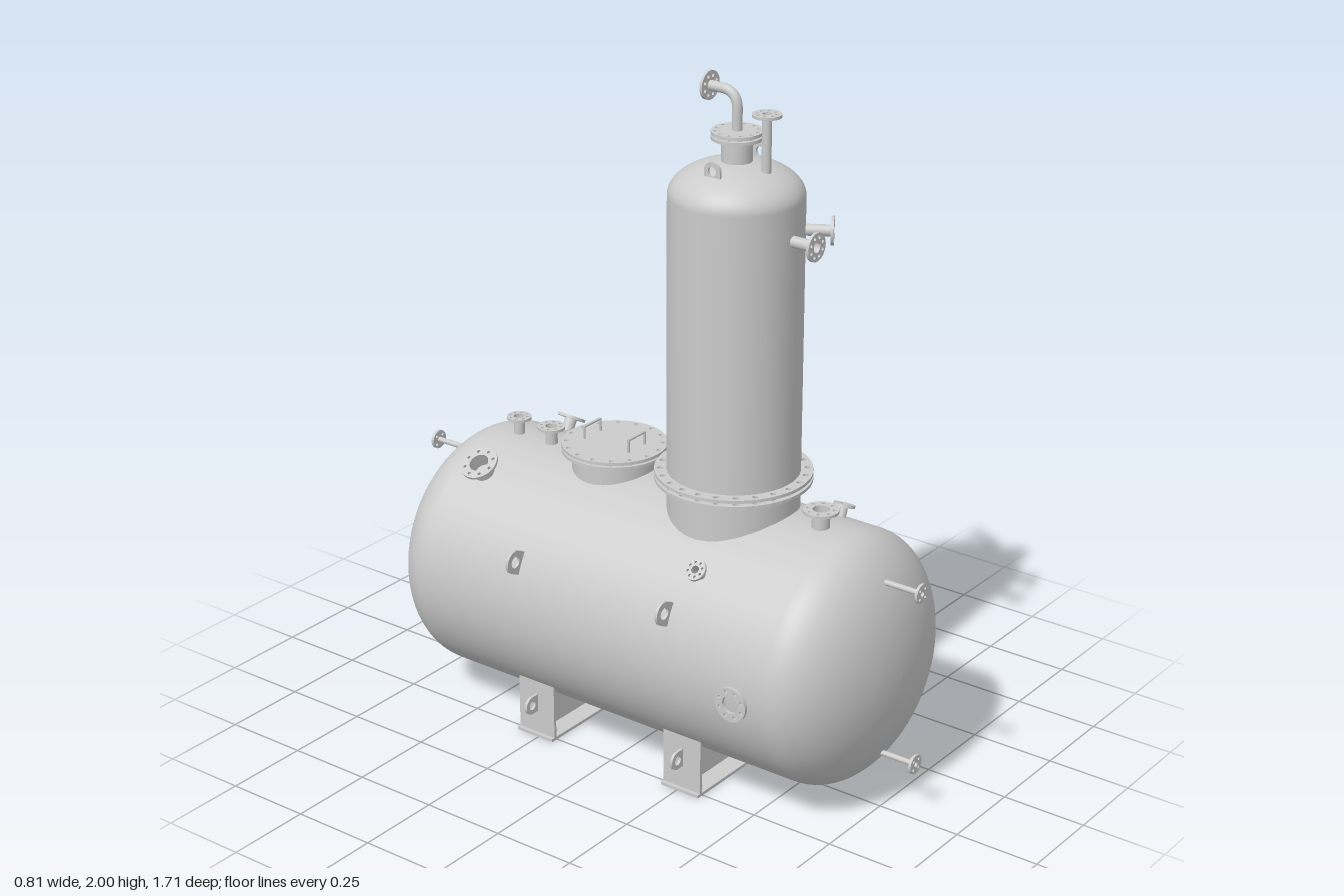
import * as THREE from 'three';

const grey = new THREE.MeshStandardMaterial({ color: 0xcccccc });
const thin = new THREE.MeshStandardMaterial({ color: 0xcccccc, side: THREE.DoubleSide });
const V = (x, y, z) => new THREE.Vector3(x, y, z);
const TANK_Y = 0.42, TANK_R = 0.367, COL_Z = 0.233, COL_R = 0.185;

function add(parent, name, geometry, material = grey) {
  const mesh = new THREE.Mesh(geometry, material);
  mesh.name = name;
  parent.add(mesh);
  return mesh;
}

// Round plate with a bore and a ring of bolt holes, from z = -t to z = 0
function flangeGeometry(r, bore, bolts, boltCircle, boltR, t) {
  const shape = new THREE.Shape().absarc(0, 0, r, 0, Math.PI * 2);
  const hole = (x, y, s) => shape.holes.push(new THREE.Path().absarc(x, y, s, 0, Math.PI * 2, true));
  if (bore) hole(0, 0, bore);
  for (let i = 0; i < bolts; i++) {
    const a = ((i + 0.5) / bolts) * Math.PI * 2;
    hole(Math.cos(a) * boltCircle, Math.sin(a) * boltCircle, boltR);
  }
  return new THREE.ExtrudeGeometry(shape, { depth: t, bevelEnabled: false, curveSegments: 20 }).translate(0, 0, -t);
}

// Horizontal flange whose upper face lies at y
function flatFlange(parent, name, y, z, r, bore, bolts, boltCircle, boltR, t) {
  const mesh = add(parent, name, flangeGeometry(r, bore, bolts, boltCircle, boltR, t));
  mesh.rotation.x = -Math.PI / 2;
  mesh.position.set(0, y, z);
}

// Pipe stub ending in a flange; 'face' is the centre of the flange face
function nozzle(parent, name, face, dir, length, pipeR, flangeR, bolts = 8) {
  const g = new THREE.Group();
  g.name = name;
  const pipe = new THREE.CylinderGeometry(pipeR, pipeR, length, 24, 1, true);
  add(g, 'pipe', pipe.rotateX(Math.PI / 2).translate(0, 0, -length / 2), thin);
  add(g, 'flange', flangeGeometry(flangeR, pipeR * 0.95, bolts, (pipeR + flangeR) / 2,
    Math.min(0.005, (flangeR - pipeR) * 0.22), 0.008));
  g.quaternion.setFromUnitVectors(V(0, 0, 1), dir.clone().normalize());
  g.position.copy(face);
  parent.add(g);
}

// Lifting eye: rounded plate with a hole, pointing along 'angle' in its plane
function liftingEye(parent, name, pos, r, leg, angle, yaw = 0) {
  const s = new THREE.Shape();
  s.moveTo(-leg, -r);
  s.lineTo(0, -r);
  s.absarc(0, 0, r, -Math.PI / 2, Math.PI / 2);
  s.lineTo(-leg, r);
  s.holes.push(new THREE.Path().absarc(0, 0, r * 0.5, 0, Math.PI * 2, true));
  const geo = new THREE.ExtrudeGeometry(s, { depth: 0.008, bevelEnabled: false, curveSegments: 16 });
  const mesh = add(parent, name, geo.translate(0, 0, -0.004).rotateZ(angle).rotateY(yaw));
  mesh.position.copy(pos);
}

// Quarter-ellipse dished head from (r, y) to the axis
function head(r, y, depth, n = 20) {
  return Array.from({ length: n + 1 }, (_, i) => {
    const a = (i / n) * Math.PI / 2;
    return new THREE.Vector2(i === n ? 0 : r * Math.cos(a), y + depth * Math.sin(a));
  });
}

function saddle(parent, z) {
  const g = new THREE.Group();
  g.name = 'saddle';
  g.position.z = z;
  // web cut to the curve of the tank
  const a = Math.asin(0.27 / TANK_R);
  const web = new THREE.Shape();
  web.moveTo(-0.27, 0.008);
  web.lineTo(0.27, 0.008);
  web.absarc(0, TANK_Y, TANK_R, -Math.PI / 2 + a, -Math.PI / 2 - a, true);
  web.closePath();
  add(g, 'web', new THREE.ExtrudeGeometry(web, { depth: 0.01, bevelEnabled: false, curveSegments: 32 }).translate(0, 0, -0.005));
  // base plate with anchor holes
  const base = new THREE.Shape();
  base.moveTo(-0.283, -0.064);
  base.lineTo(0.283, -0.064);
  base.lineTo(0.283, 0.064);
  base.lineTo(-0.283, 0.064);
  for (const x of [-0.235, 0.235]) for (const y of [-0.035, 0.035])
    base.holes.push(new THREE.Path().absarc(x, y, 0.009, 0, Math.PI * 2, true));
  add(g, 'basePlate', new THREE.ExtrudeGeometry(base, { depth: 0.009, bevelEnabled: false }).rotateX(-Math.PI / 2));
  for (const s of [-1, 1]) {
    add(g, 'endPlate', new THREE.BoxGeometry(0.009, 0.167, 0.127)).position.set(s * 0.267, 0.0915, 0);
    liftingEye(g, 'saddleEye', V(s * 0.295, 0.105, 0), 0.027, 0.025, s > 0 ? 0 : Math.PI);
  }
  parent.add(g);
}

export function createModel() {
  const root = new THREE.Group();
  root.name = 'vessel';
  const body = new THREE.Group();
  body.name = 'body';
  body.position.x = 0.01;
  root.add(body);

  // Horizontal tank with dished ends
  const end = head(TANK_R, 0.6, 0.202);
  const start = end.map(p => new THREE.Vector2(p.x, -p.y)).reverse();
  add(body, 'tank', new THREE.LatheGeometry([...start, ...end], 72).rotateX(Math.PI / 2)).position.y = TANK_Y;

  // Column and its neck, joined by two bolted flanges
  add(body, 'column', new THREE.LatheGeometry([new THREE.Vector2(COL_R, 0.87), ...head(COL_R, 1.675, 0.098)], 64))
    .position.z = COL_Z;
  add(body, 'columnNeck', new THREE.CylinderGeometry(COL_R, COL_R, 0.24, 64, 1, true), thin).position.set(0, 0.745, COL_Z);
  for (const y of [0.866, 0.884])
    flatFlange(body, 'columnFlange', y, COL_Z, 0.22, 0.183, 24, 0.203, 0.008, 0.009);

  // Nozzle on the column head with blind cover
  add(body, 'headNeck', new THREE.CylinderGeometry(0.042, 0.042, 0.1, 32, 1, true), thin).position.set(0, 1.79, COL_Z);
  flatFlange(body, 'headFlange', 1.84, COL_Z, 0.07, 0.04, 12, 0.058, 0.005, 0.009);
  flatFlange(body, 'headCover', 1.854, COL_Z, 0.07, 0, 12, 0.058, 0.005, 0.009);

  // Bent vent pipe
  const bend = new THREE.CurvePath();
  bend.add(new THREE.LineCurve3(V(0, 1.84, COL_Z), V(0, 1.91, COL_Z)));
  bend.add(new THREE.QuadraticBezierCurve3(V(0, 1.91, COL_Z), V(0, 1.96, COL_Z), V(0, 1.96, COL_Z - 0.05)));
  add(body, 'ventPipe', new THREE.TubeGeometry(bend, 32, 0.014, 16), thin);
  nozzle(body, 'ventOutlet', V(0, 1.96, 0.138), V(0, 0, -1), 0.046, 0.014, 0.04);
  nozzle(body, 'columnTopPipe', V(0, 1.916, 0.328), V(0, 1, 0), 0.2, 0.013, 0.04);

  // Column side nozzles and lifting eyes
  for (const a of [0, Math.PI / 6 + 0.03]) {
    const d = V(Math.sin(a), 0, Math.cos(a));
    nozzle(body, 'columnSideNozzle', d.clone().multiplyScalar(0.26).add(V(0, 1.583, COL_Z)), d, 0.1, 0.016, 0.04);
  }
  for (const s of [-1, 1])
    liftingEye(body, 'columnEye', V(s * 0.108, 1.768, COL_Z), 0.026, 0.035, Math.PI / 2, Math.PI / 2);

  // Manhole with bolted cover and two handles
  const mz = -0.183;
  add(body, 'manholeNeck', new THREE.CylinderGeometry(0.122, 0.122, 0.14, 48, 1, true), thin).position.set(0, 0.765, mz);
  flatFlange(body, 'manholeFlange', 0.838, mz, 0.152, 0.12, 16, 0.138, 0.006, 0.009);
  flatFlange(body, 'manholeCover', 0.852, mz, 0.152, 0, 16, 0.138, 0.006, 0.009);
  for (const z of [-0.264, -0.105]) {
    const path = new THREE.CurvePath();
    const p = [V(-0.037, 0.845, z), V(-0.037, 0.889, z), V(0.037, 0.889, z), V(0.037, 0.845, z)];
    for (let i = 0; i < 3; i++) path.add(new THREE.LineCurve3(p[i], p[i + 1]));
    add(body, 'manholeHandle', new THREE.TubeGeometry(path, 48, 0.004, 8));
  }

  // Radial tank nozzles: degrees from top, z, pipe radius, flange radius, face distance
  const radial = [
    [0, 0.525, 0.025, 0.05, 0.42], [0, -0.415, 0.018, 0.04, 0.42], [0, -0.535, 0.016, 0.036, 0.42],
    [-31, -0.51, 0.03, 0.055, 0.412], [31, -0.51, 0.018, 0.042, 0.412],
    [-45, 0.315, 0.012, 0.031, 0.408], [21, 0.505, 0.012, 0.031, 0.404],
    [180, 0.505, 0.018, 0.04, 0.394], [180, -0.505, 0.028, 0.05, 0.394],
  ];
  for (const [deg, z, pr, fr, dist] of radial) {
    const a = THREE.MathUtils.degToRad(deg), d = V(Math.sin(a), Math.cos(a), 0);
    nozzle(body, 'tankNozzle', d.clone().multiplyScalar(dist).add(V(0, TANK_Y, z)), d, dist - 0.34, pr, fr);
  }

  // Gauge nozzles on both tank ends
  for (const s of [-1, 1]) for (const y of [0.683, 0.163])
    nozzle(body, 'endNozzle', V(0, y, s * 0.855), V(0, 0, s), 0.15, 0.008, 0.028, 4);

  // Side flange standing off the tank wall
  const side = add(body, 'sideFlange', flangeGeometry(0.05, 0.025, 8, 0.038, 0.005, 0.009));
  side.rotation.y = -Math.PI / 2;
  side.position.set(-0.415, TANK_Y, 0.525);

  // Saddles and tank lifting eyes
  for (const z of [0.26, -0.262]) {
    saddle(body, z);
    for (const s of [-1, 1])
      liftingEye(body, 'tankEye', V(s * 0.357, 0.587, z), 0.034, 0.05, s > 0 ? 0.44 : Math.PI - 0.44);
  }
  return root;
}
